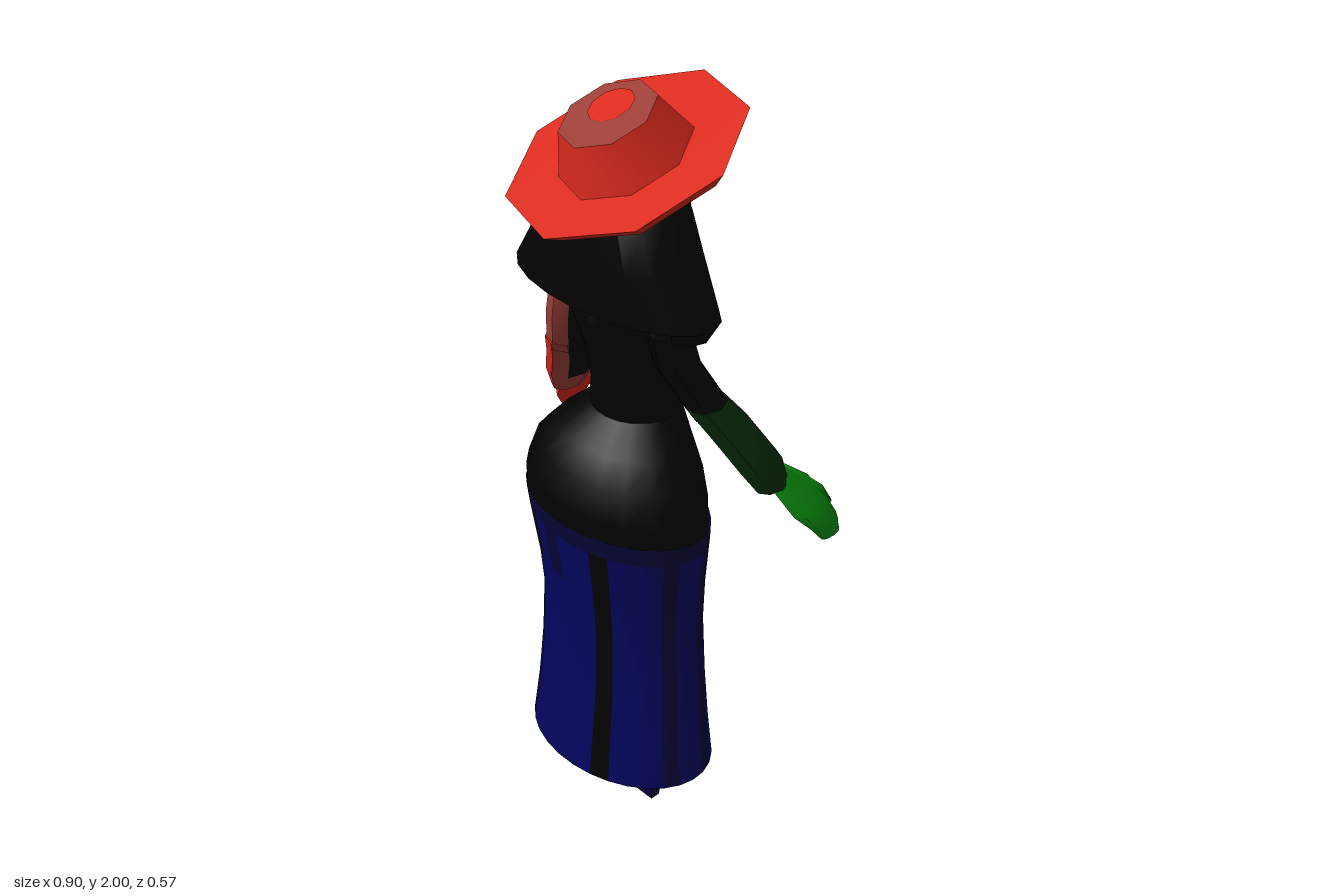
import * as THREE from 'three';
import { toCreasedNormals } from 'three/addons/utils/BufferGeometryUtils.js';

const material = (name, color) => {
  const m = new THREE.MeshStandardMaterial({ color, side: THREE.DoubleSide });
  m.name = name;
  return m;
};

// Skin of elliptical rings [y, centreX, centreZ, radiusX, radiusZ], coloured face by face.
// pick(row, column, angle) returns a material, or null to leave the face open.
function loft(name, rings, sides, pick, { crease = 0.8, capped = true } = {}) {
  rings = [...rings].sort((a, b) => a[0] - b[0]);
  const pos = [], faces = new Map();
  const add = (m, ...ids) => {
    if (!m) return;
    if (!faces.has(m)) faces.set(m, []);
    faces.get(m).push(...ids);
  };
  for (const [y, cx, cz, rx, rz] of rings)
    for (let j = 0; j < sides; j++) {
      const t = (j / sides) * Math.PI * 2;
      pos.push(cx + rx * Math.sin(t), y, cz + rz * Math.cos(t));
    }
  const last = rings.length - 1;
  for (let i = 0; i < last; i++)
    for (let j = 0; j < sides; j++) {
      const k = (j + 1) % sides, a = i * sides, d = a + sides;
      const m = pick(i, j, ((j + 0.5) / sides) * Math.PI * 2);
      add(m, a + j, a + k, d + k, a + j, d + k, d + j);
    }
  if (capped)
    for (const i of [0, last]) {
      const [y, cx, cz] = rings[i], c = pos.length / 3;
      pos.push(cx, y, cz);
      for (let j = 0; j < sides; j++) {
        const p = i * sides + j, q = i * sides + (j + 1) % sides;
        const m = pick(Math.min(i, last - 1), j, ((j + 0.5) / sides) * Math.PI * 2);
        if (i) add(m, c, p, q); else add(m, c, q, p);
      }
    }
  const geo = new THREE.BufferGeometry(), index = [], mats = [];
  for (const [m, ids] of faces) {
    geo.addGroup(index.length, ids.length, mats.length);
    index.push(...ids);
    mats.push(m);
  }
  geo.setAttribute('position', new THREE.Float32BufferAttribute(pos, 3));
  geo.setIndex(index);
  const mesh = new THREE.Mesh(toCreasedNormals(geo, crease), mats);
  mesh.name = name;
  return mesh;
}

export function createModel() {
  const model = new THREE.Group();
  model.name = 'figure';
  const red = material('red', 0xdb2a1d), mutedRed = material('muted red', 0x9c3f38);
  const black = material('black', 0x020202), blue = material('blue', 0x04045e);
  const navy = material('navy', 0x040436);
  const green = material('green', 0x0a8a0c), darkGreen = material('dark green', 0x062e0a);
  const mesh = (name, geo, mat, parent = model) => {
    const m = new THREE.Mesh(geo, mat);
    m.name = name;
    parent.add(m);
    return m;
  };

  // Long striped skirt, open at the hem, with a dark lining
  const skirt = [
    [0.165, 0, 0.05, 0.272, 0.19], [0.3, 0, 0.047, 0.256, 0.175],
    [0.45, 0, 0.045, 0.245, 0.16], [0.62, 0, 0.045, 0.236, 0.155],
    [0.74, 0, 0.05, 0.243, 0.16], [0.89, 0, 0.06, 0.262, 0.17], [0.945, 0, 0.064, 0.267, 0.172],
  ];
  model.add(loft('skirt', skirt, 30, (i, j) => {
    if ([1, 14, 21, 22].includes(j) && i < 5) return black;
    if ((i === 4 && j === 26) || (i < 3 && (j === 23 || j === 24))) return black;
    return i === 5 || [5, 8, 17, 25].includes(j) || (i > 3 && j === 28) ? navy : blue;
  }, { capped: false }));
  model.add(loft('lining', skirt.slice(0, 4).map(([y, x, z, rx, rz]) => [y, x, z, rx - 0.005, rz - 0.005]),
    30, () => navy, { capped: false }));

  // Hips, waist, bust and neck; the figure looks towards -z
  model.add(loft('body', [
    [0.93, 0, 0.065, 0.262, 0.168], [1.0, 0, 0.067, 0.262, 0.167], [1.08, 0, 0.058, 0.235, 0.157],
    [1.14, 0, 0.035, 0.185, 0.135], [1.2, 0, -0.003, 0.115, 0.105], [1.28, 0, -0.018, 0.112, 0.124],
    [1.38, 0, -0.028, 0.118, 0.16], [1.47, 0, -0.005, 0.14, 0.16], [1.54, 0, 0.03, 0.165, 0.12],
    [1.575, 0, 0.02, 0.1, 0.09], [1.6, 0, 0.01, 0.05, 0.055], [1.7, 0, 0, 0.05, 0.06],
  ], 20, () => black));

  // Head with nose, chin and lips
  const head = mesh('head', new THREE.SphereGeometry(1, 16, 12), black);
  head.scale.set(0.105, 0.145, 0.115);
  head.position.set(0, 1.735, -0.03);
  const nose = mesh('nose', new THREE.ConeGeometry(0.02, 0.06, 6), black);
  nose.position.set(0, 1.745, -0.145);
  nose.rotation.x = -0.4;
  const chin = mesh('chin', new THREE.SphereGeometry(0.04, 10, 8), black);
  chin.position.set(0, 1.64, -0.095);
  const mouth = mesh('mouth', new THREE.SphereGeometry(0.035, 10, 8), black);
  mouth.position.set(0, 1.675, -0.112);
  const lips = mesh('lips', new THREE.BoxGeometry(0.04, 0.008, 0.008), red);
  lips.position.set(0, 1.672, -0.146);

  // Flared hair, parted over the face and pointed at both sides
  model.add(loft('hair', [
    [1.8, 0, 0.01, 0.12, 0.09], [1.75, 0, 0.05, 0.175, 0.145], [1.66, 0, 0.058, 0.225, 0.147],
    [1.54, 0, 0.062, 0.295, 0.138], [1.49, 0, 0.05, 0.262, 0.1],
  ], 20, (i, j, t) => {
    if (i === 0) return Math.abs(Math.sin(t)) > 0.8 ? black : null;
    return i < 3 && Math.cos(t) < -0.95 ? null : black;
  }, { capped: false }));

  // Arms and hands: each sleeve is coloured outside and dark towards the body
  for (const s of [1, -1]) {
    const side = s > 0 ? 'left' : 'right';
    const at = (rows) => rows.map(([y, x, ...rest]) => [y, x * s, ...rest]);
    const [hand, sleeveOut, sleeveIn, upperBack, upperFront] =
      s > 0 ? [green, darkGreen, black, black, black] : [red, red, mutedRed, mutedRed, red];
    model.add(loft(side + 'Shoulder', at([
      [1.56, 0.135, 0.05, 0.03, 0.035], [1.52, 0.148, 0.055, 0.052, 0.058],
      [1.48, 0.152, 0.055, 0.052, 0.058],
    ]), 8, () => black));
    model.add(loft(side + 'UpperArm', at([
      [1.49, 0.152, 0.055, 0.048, 0.055], [1.4, 0.172, 0.045, 0.052, 0.057],
      [1.26, 0.232, -0.015, 0.052, 0.057],
    ]), 8, (i, j, t) => {
      if (Math.sin(t) * s < -0.6) return black;
      return Math.cos(t) > 0 ? upperBack : upperFront;
    }));
    model.add(loft(side + 'Forearm', at([
      [1.29, 0.222, -0.002, 0.054, 0.06], [1.22, 0.255, -0.045, 0.057, 0.066],
      [1.12, 0.308, -0.093, 0.055, 0.067], [1.05, 0.338, -0.115, 0.035, 0.05],
    ]), 8, (i, j, t) => {
      const out = Math.sin(t) * s;
      if (out > -0.2) return sleeveOut;
      return i > 0 && out < -0.6 ? black : sleeveIn;
    }));
    model.add(loft(side + 'Hand', at([
      [1.08, 0.33, -0.135, 0.022, 0.035], [1.03, 0.358, -0.17, 0.028, 0.06],
      [0.97, 0.398, -0.195, 0.029, 0.062], [0.93, 0.423, -0.217, 0.024, 0.05],
      [0.89, 0.438, -0.23, 0.011, 0.034],
    ]), 8, () => hand));
    model.add(loft(side + 'Thumb', at([
      [1.03, 0.362, -0.2, 0.016, 0.025], [0.99, 0.38, -0.238, 0.017, 0.026],
      [0.943, 0.392, -0.272, 0.009, 0.014],
    ]), 6, () => hand));
  }

  // Legs and heeled shoes
  const profile = new THREE.Shape([
    [-0.068, 0], [-0.04, 0], [-0.03, 0.05], [0.06, 0.012], [0.09, 0], [0.155, 0],
    [0.155, 0.018], [0.1, 0.033], [0.03, 0.068], [0, 0.1], [-0.06, 0.1], [-0.072, 0.06],
  ].map(([u, v]) => new THREE.Vector2(u, v)));
  const shoeGeo = new THREE.ExtrudeGeometry(profile, { depth: 0.062, bevelEnabled: false });
  shoeGeo.translate(0, 0, -0.031);
  for (const s of [1, -1]) {
    const side = s > 0 ? 'left' : 'right';
    model.add(loft(side + 'Leg', [
      [0.08, s * 0.098, 0.03, 0.029, 0.032], [0.18, s * 0.096, 0.035, 0.032, 0.034],
      [0.45, s * 0.095, 0.04, 0.05, 0.05],
    ], 8, () => navy));
    const shoe = mesh(side + 'Shoe', shoeGeo, navy);
    shoe.position.x = s * 0.1;
    shoe.rotation.y = Math.PI / 2 - s * 0.08;
  }

  // Tilted eight-sided hat: muted underside, then rim, brim and crown
  const hat = new THREE.Group();
  hat.name = 'hat';
  hat.position.set(-0.013, 1.853, 0.013);
  hat.quaternion.setFromUnitVectors(
    new THREE.Vector3(0, 1, 0), new THREE.Vector3(-0.17, 1, 0.39).normalize());
  model.add(hat);
  const turned = (name, points, mat) => {
    const lathe = new THREE.LatheGeometry(points.map(([r, y]) => new THREE.Vector2(r, y)), 8);
    mesh(name, toCreasedNormals(lathe, 0.8), mat, hat);
  };
  turned('brimUnderside', [[0.001, -0.045], [0.19, -0.045]], mutedRed);
  turned('brimAndCrown',
    [[0.19, -0.045], [0.252, -0.038], [0.292, 0.002], [0.162, 0.002], [0.118, 0.113]], red);
  const top = mesh('crownTop', new THREE.CircleGeometry(0.118, 8), mutedRed, hat);
  top.position.y = 0.113;
  top.rotation.x = -Math.PI / 2;
  const spot = mesh('crownSpot', new THREE.CircleGeometry(0.057, 10), red, hat);
  spot.position.set(-0.01, 0.115, -0.025);
  spot.rotation.x = -Math.PI / 2;

  return model;
}
